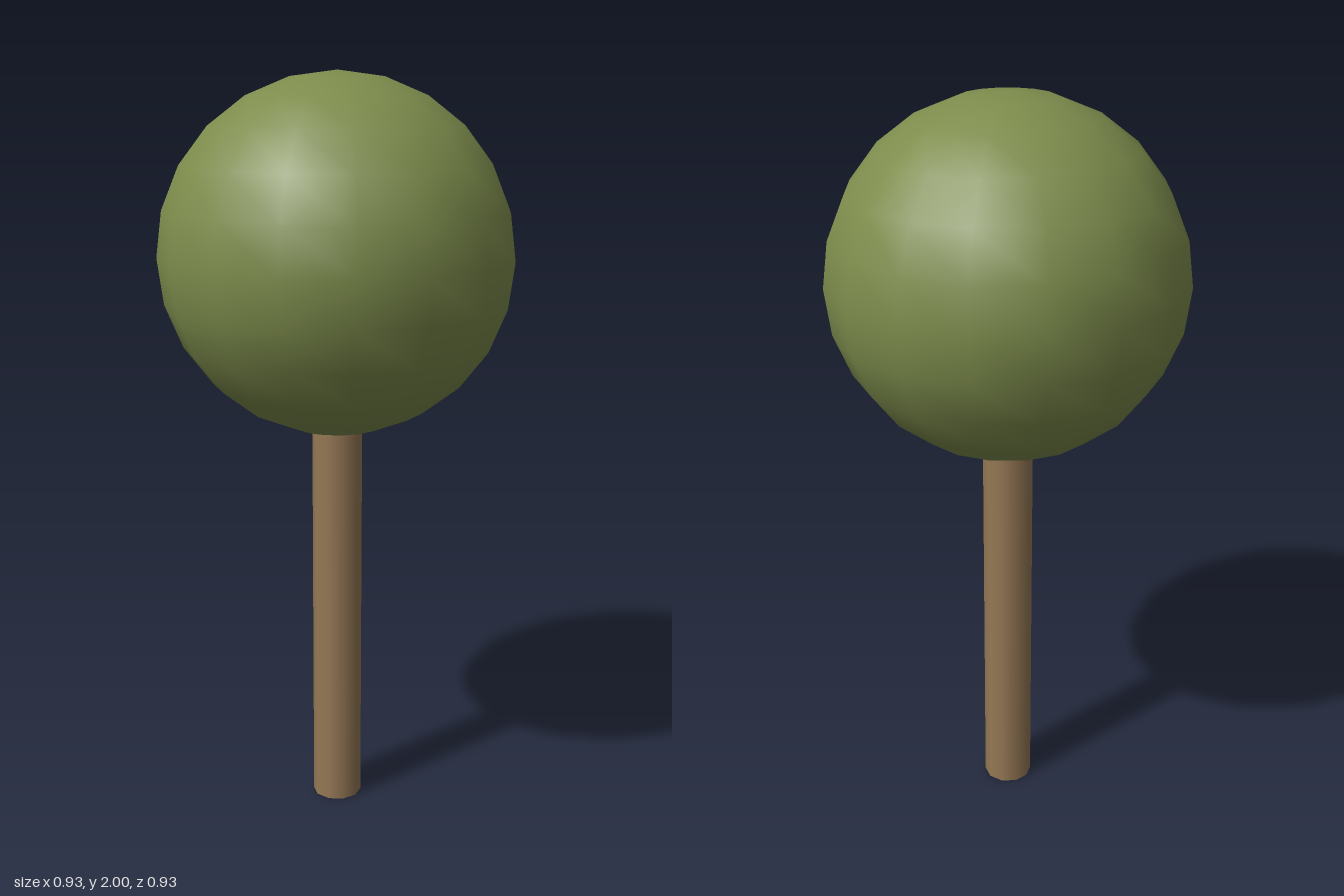
import * as THREE from 'three';

const RADIUS = 0.467;
const TRUNK_RADIUS = 0.067;
const TRUNK_HEIGHT = 1.07;

export function createModel() {
  const tree = new THREE.Group();
  tree.name = 'tree';

  const add = (name, geometry, color, y) => {
    const mesh = new THREE.Mesh(geometry, new THREE.MeshStandardMaterial({ color }));
    mesh.name = name;
    mesh.position.y = y;
    tree.add(mesh);
    return mesh;
  };

  // Ten-sided trunk, turned so that its corners lie on the x axis
  const trunk = new THREE.CylinderGeometry(TRUNK_RADIUS, TRUNK_RADIUS, TRUNK_HEIGHT, 10);
  trunk.rotateY(Math.PI / 2);
  add('trunk', trunk, 0x957855, TRUNK_HEIGHT / 2);

  // Round crown resting on the trunk
  add('crown', new THREE.SphereGeometry(RADIUS, 16, 12), 0x7d8c4c, 2 - RADIUS);

  return tree;
}
